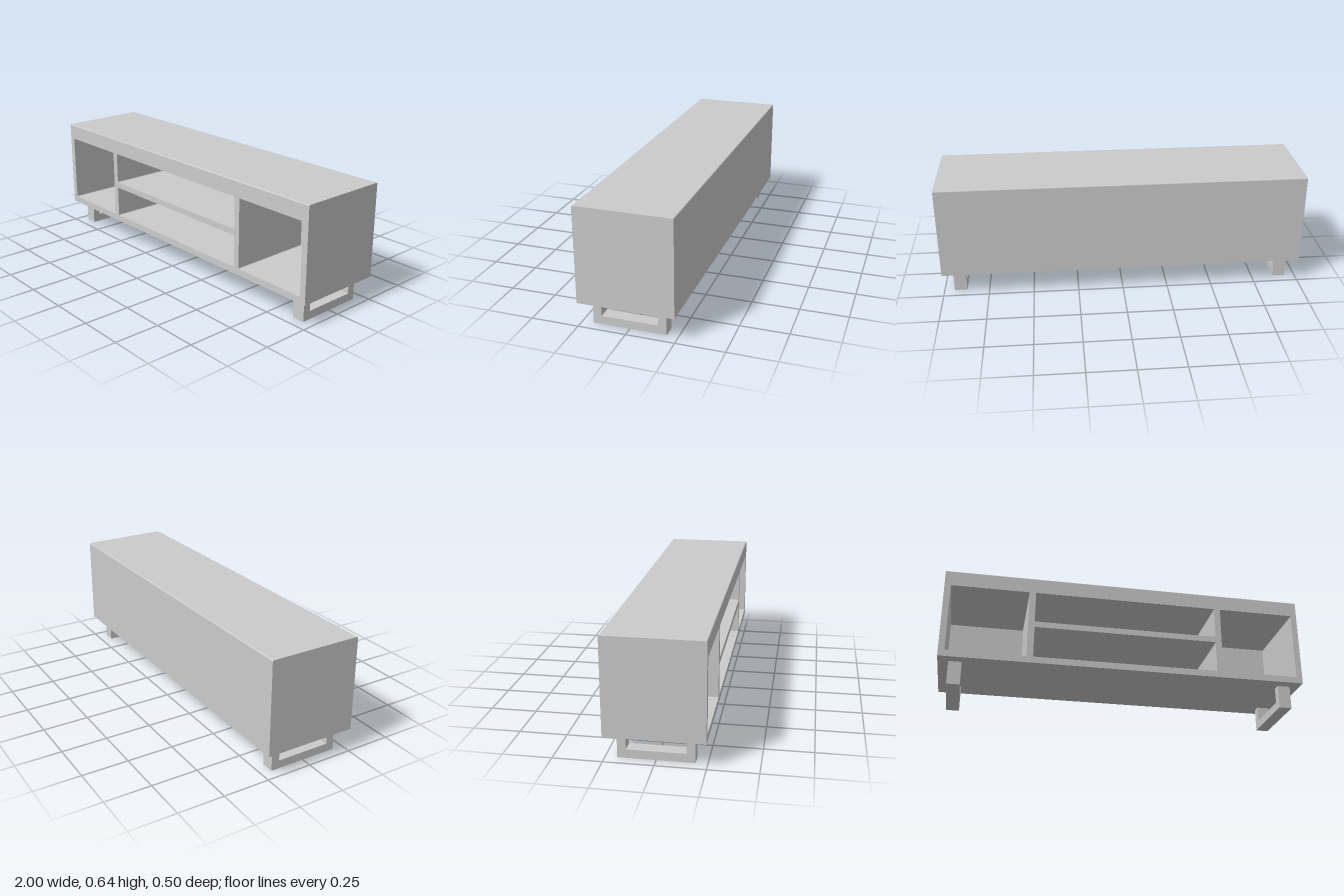
import * as THREE from 'three';

// Rectangle outline with optional corner radii at the bottom and top
function rect(path, x0, y0, x1, y1, rb = 0, rt = rb) {
  path.moveTo(x0 + rb, y0);
  path.lineTo(x1 - rb, y0);
  if (rb) path.absarc(x1 - rb, y0 + rb, rb, -Math.PI / 2, 0);
  path.lineTo(x1, y1 - rt);
  if (rt) path.absarc(x1 - rt, y1 - rt, rt, 0, Math.PI / 2);
  path.lineTo(x0 + rt, y1);
  if (rt) path.absarc(x0 + rt, y1 - rt, rt, Math.PI / 2, Math.PI);
  path.lineTo(x0, y0 + rb);
  if (rb) path.absarc(x0 + rb, y0 + rb, rb, Math.PI, Math.PI * 1.5);
  return path;
}

export function createModel() {
  const group = new THREE.Group();
  const material = new THREE.MeshStandardMaterial({ color: 0xcccccc });
  const add = (name, geometry) => {
    const mesh = new THREE.Mesh(geometry, material);
    mesh.name = name;
    group.add(mesh);
    return mesh;
  };
  const extrude = (shape, depth) =>
    new THREE.ExtrudeGeometry(shape, { depth, bevelEnabled: false, curveSegments: 4 });

  const bottom = 0.129, top = 0.638, slabY = 0.58, half = 0.25, backZ = -0.223;

  // Carcass: frame with four open compartments
  const front = rect(new THREE.Shape(), -1, bottom, 1, slabY);
  const openings = [
    [-0.966, 0.165, -0.541, 0.55],
    [0.541, 0.165, 0.966, 0.55],
    [-0.506, 0.165, 0.506, 0.341],
    [-0.506, 0.374, 0.506, 0.55],
  ];
  for (const o of openings) front.holes.push(rect(new THREE.Path(), ...o, 0.005));
  add('carcass', extrude(front, half - backZ)).position.z = backZ;

  // Back panel closing the compartments
  add('backPanel', new THREE.BoxGeometry(2, slabY - bottom, half + backZ))
    .position.set(0, (slabY + bottom) / 2, (backZ - half) / 2);

  // Top slab with softly rounded long edges
  const slab = extrude(rect(new THREE.Shape(), -half, slabY, half, top, 0, 0.006), 2);
  slab.rotateY(Math.PI / 2).translate(-1, 0, 0);
  add('topSlab', slab);

  // Sled legs: U-shaped frames, one near each end
  const legShape = new THREE.Shape([
    [-0.191, 0], [0.191, 0], [0.191, bottom], [0.147, bottom],
    [0.147, 0.045], [-0.147, 0.045], [-0.147, bottom], [-0.191, bottom],
  ].map(([z, y]) => new THREE.Vector2(z, y)));
  const leg = extrude(legShape, 0.07).translate(0, 0, -0.035).rotateY(Math.PI / 2);
  for (const side of [-1, 1]) {
    add(side > 0 ? 'leftLeg' : 'rightLeg', leg).position.x = side * 0.909;
  }

  return group;
}
